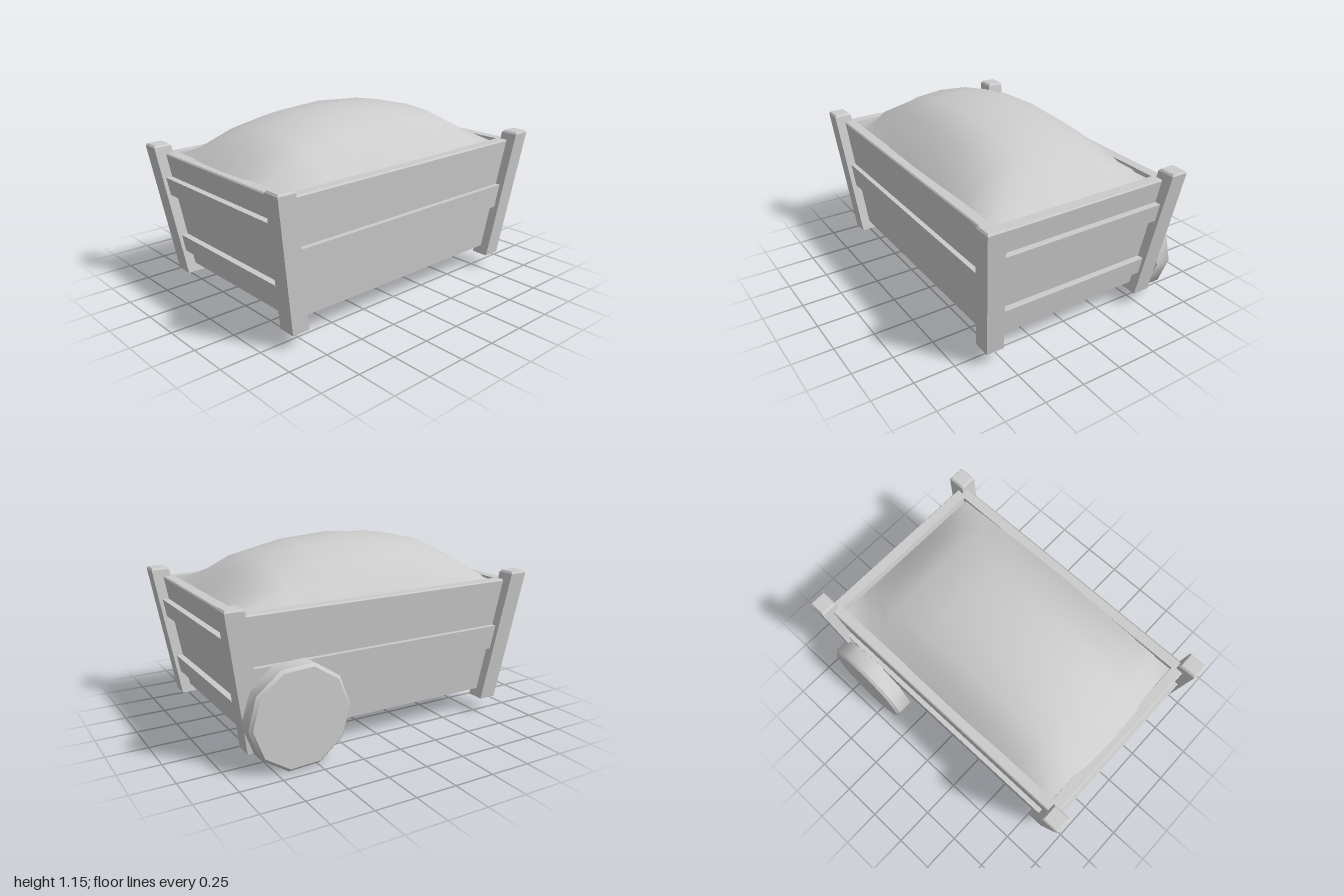
import * as THREE from 'three';
import { toCreasedNormals } from 'three/addons/utils/BufferGeometryUtils.js';

const material = new THREE.MeshStandardMaterial({ color: 0xcccccc });
const CZ = 0.028; // depth centre of the crate

// Slanted outer wall: half width and half depth at height y
const wallX = (y) => 0.927 - 0.157 * (0.875 - y);
const wallZ = (y) => 0.597 - 0.09 * (0.875 - y);

function addMesh(parent, name, geometry) {
  const mesh = new THREE.Mesh(geometry, material);
  mesh.name = name;
  parent.add(mesh);
  return mesh;
}

// Loft through rectangles [y, halfX, halfZ, centreX, centreZ], closed at both ends
function loft(sections) {
  const rings = [];
  const first = sections[0], last = sections[sections.length - 1];
  const point = ([y, , , cx = 0, cz = 0]) => [y, 0, 0, cx, cz];
  for (const [y, hx, hz, cx = 0, cz = 0] of [point(first), ...sections, point(last)]) {
    rings.push([[1, 1], [1, -1], [-1, -1], [-1, 1]].map(([sx, sz]) => [cx + sx * hx, y, cz + sz * hz]));
  }
  const pos = [];
  for (let i = 0; i < rings.length - 1; i++) {
    for (let j = 0; j < 4; j++) {
      const k = (j + 1) % 4;
      const a = rings[i][j], b = rings[i][k], c = rings[i + 1][k], d = rings[i + 1][j];
      if (i > 0) pos.push(...a, ...b, ...c);
      if (i < rings.length - 2) pos.push(...a, ...c, ...d);
      else pos.pop, pos.length;
    }
  }
  const g = new THREE.BufferGeometry();
  g.setAttribute('position', new THREE.Float32BufferAttribute(pos, 3));
  g.computeVertexNormals();
  return g;
}

// Domed heap: product of a lengthwise and a crosswise profile, [position, height factor]
function heapGeometry() {
  const px = [[-0.91, 0], [-0.77, 0.43], [-0.6, 0.74], [-0.35, 0.935], [-0.05, 1], [0.28, 0.92], [0.55, 0.705], [0.7, 0.4], [0.84, 0]];
  const pz = [[-0.53, 0], [-0.43, 0.43], [-0.32, 0.72], [-0.15, 0.935], [0.04, 1], [0.22, 0.935], [0.4, 0.72], [0.59, 0]];
  const pos = [], index = [];
  px.forEach(([x, fx], i) => pz.forEach(([z, fz], j) => {
    const pinchX = x < 0 ? 1 - 0.05 * (z / 0.56) ** 2 : 1;
    const pinchZ = 1 - 0.04 * (x / 0.9) ** 2;
    pos.push(x * pinchX, 0.85 + 0.305 * fx * fz, z * pinchZ);
    if (i && j) {
      const n = pz.length, d = i * n + j, c = d - 1, b = d - n, a = b - 1;
      index.push(a, b, d, a, d, c);
    }
  }));
  const g = new THREE.BufferGeometry();
  g.setAttribute('position', new THREE.Float32BufferAttribute(pos, 3));
  g.setIndex(index);
  g.computeVertexNormals();
  return g;
}

export function createModel() {
  const model = new THREE.Group();
  model.name = 'filledCrate';
  const crate = new THREE.Group();
  crate.name = 'crate';
  crate.position.z = CZ;
  model.add(crate);

  // Flared box with a thick rim and a recessed inside
  addMesh(crate, 'box', loft([
    [0.155, wallX(0.155), wallZ(0.155)],
    [0.867, wallX(0.867), wallZ(0.867)],
    [0.875, 0.92, 0.59],
    [0.875, 0.857, 0.531],
    [0.75, 0.84, 0.52],
  ]));

  // Raised slats: one pair across front and back, two pairs across the ends
  const slat = (name, y0, y1, ox, oz) => addMesh(crate, name, loft([
    [y0, wallX(y0) + ox, wallZ(y0) + oz],
    [y1, wallX(y1) + ox, wallZ(y1) + oz],
  ]));
  slat('frontBackSlat', 0.433, 0.583, -0.02, 0.03);
  slat('upperEndSlat', 0.62, 0.73, 0.04, -0.02);
  slat('lowerEndSlat', 0.25, 0.355, 0.04, -0.02);

  // Leaning corner posts with a bevelled top
  for (const sx of [-1, 1]) {
    for (const sz of [-1, 1]) {
      const name = (sz > 0 ? 'front' : 'back') + (sx > 0 ? 'Left' : 'Right') + 'Post';
      addMesh(crate, name, loft([
        [0.1, 0.055, 0.055, sx * 0.812, sz * 0.531],
        [0.918, 0.056, 0.054, sx * 0.942, sz * 0.606],
        [0.93, 0.047, 0.045, sx * 0.943, sz * 0.607],
      ]));
    }
  }

  // Heap filling the crate
  addMesh(model, 'heap', heapGeometry()).material = new THREE.MeshStandardMaterial({
    color: 0xcccccc, side: THREE.DoubleSide,
  });

  // Ten-sided disc leaning against the back, bevelled on its outer edge
  const profile = [[0, 0], [0.308, 0], [0.308, 0.097], [0.29, 0.115], [0, 0.115]]
    .map(([r, h]) => new THREE.Vector2(r, h));
  const disc = addMesh(model, 'backDisc', toCreasedNormals(new THREE.LatheGeometry(profile, 10), 0.7));
  disc.geometry.rotateY(THREE.MathUtils.degToRad(-15));
  disc.rotation.x = -Math.PI / 2;
  disc.position.set(0.6, 0.302, -0.575);
  return model;
}
